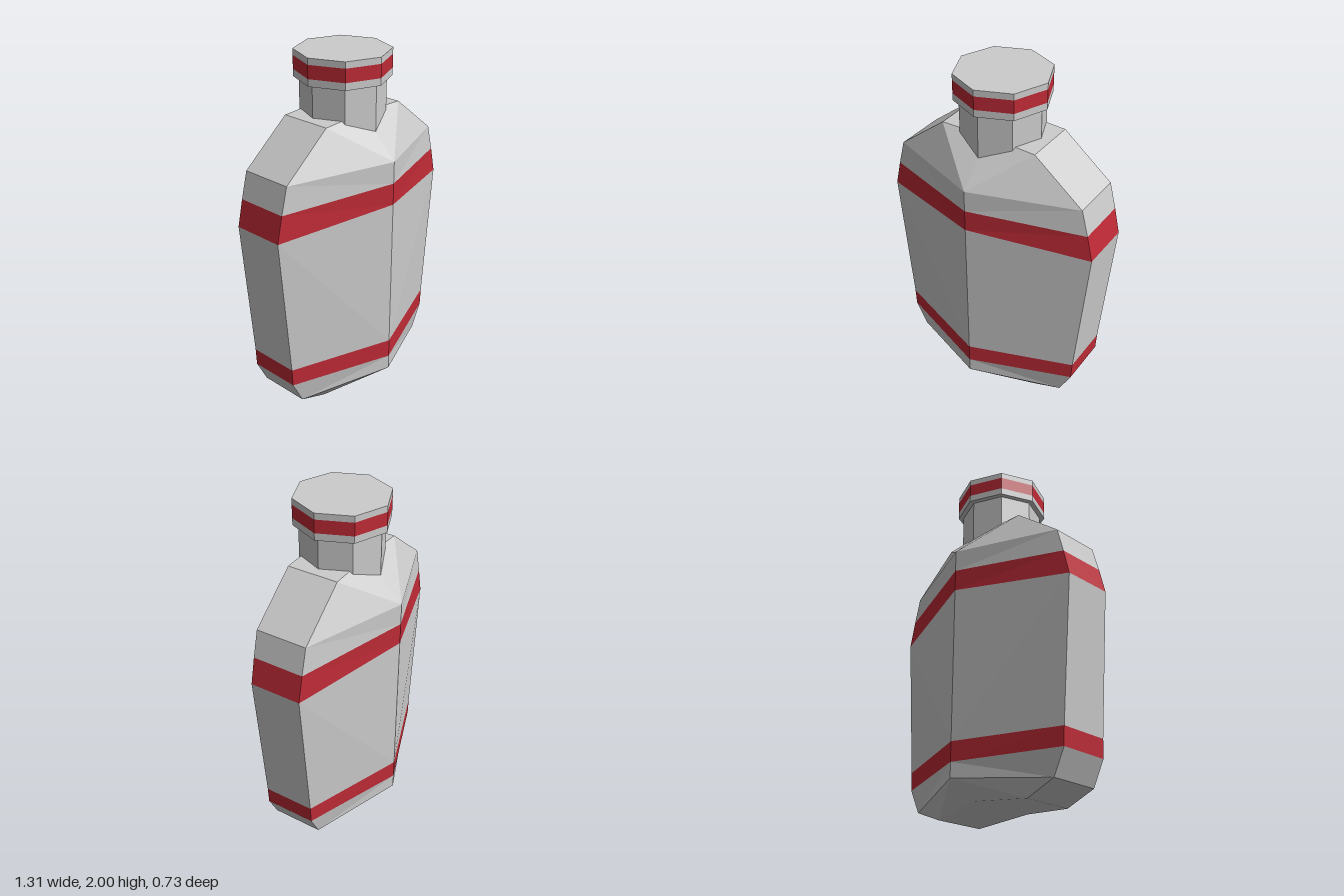
import * as THREE from 'three';

const grey = new THREE.MeshStandardMaterial({ color: 0xcccccc, flatShading: true });
const red = new THREE.MeshStandardMaterial({ color: 0xbe2a36, flatShading: true });

// Body levels, bottom to top: side x, side y, ridge y, ridge z
const SIDE_Z = 0.15;
const levels = [
  [0.33, 0, 0.035, 0.2],
  [0.51, 0.07, 0.125, 0.367],
  [0.58, 0.21, 0.21, 0.367],
  [0.585, 0.315, 0.32, 0.367],
  [0.655, 1.14, 1.205, 0.367],
  [0.62, 1.29, 1.33, 0.367],
  [0.58, 1.44, 1.455, 0.367],
  [0.29, 1.67, 1.68, 0.15],
];

// Six-sided cross-section with a ridge at front and back
const ring = ([x, y, ridgeY, ridgeZ]) => [
  [0, ridgeY, ridgeZ], [x, y, SIDE_Z], [x, y, -SIDE_Z],
  [0, ridgeY, -ridgeZ], [-x, y, -SIDE_Z], [-x, y, SIDE_Z],
];

function facets(name, triangles, material) {
  const geometry = new THREE.BufferGeometry();
  geometry.setAttribute('position', new THREE.Float32BufferAttribute(triangles.flat(2), 3));
  geometry.computeVertexNormals();
  const mesh = new THREE.Mesh(geometry, material);
  mesh.name = name;
  return mesh;
}

// Faceted wall between two neighbouring levels
function band(k) {
  const lo = ring(levels[k]), hi = ring(levels[k + 1]);
  const tris = [];
  for (let i = 0; i < 6; i++) {
    const j = (i + 1) % 6;
    // The fold runs from the lower ridge to the upper side, reversed near the base
    const startsAtRidge = i % 3 === 0;
    if (startsAtRidge === k > 1) tris.push([lo[i], lo[j], hi[j]], [lo[i], hi[j], hi[i]]);
    else tris.push([lo[i], lo[j], hi[i]], [lo[j], hi[j], hi[i]]);
  }
  return tris;
}

// Closing face of the body
function lid(level, up) {
  const r = ring(level);
  return [1, 2, 3, 4].map((i) => (up ? [r[0], r[i], r[i + 1]] : [r[0], r[i + 1], r[i]]));
}

// Eight-sided section between two heights
function octagon(name, radius, y0, y1, material, open = false) {
  const geometry = new THREE.CylinderGeometry(radius, radius, y1 - y0, 8, 1, open);
  const mesh = new THREE.Mesh(geometry, material);
  mesh.position.y = (y0 + y1) / 2;
  mesh.name = name;
  return mesh;
}

export function createModel() {
  const model = new THREE.Group();
  model.name = 'bottle';

  // Body with two red stripes
  const body = new THREE.Group();
  body.name = 'body';
  body.add(
    facets('base', [...lid(levels[0], false), ...band(0), ...band(1)], grey),
    facets('lowerStripe', band(2), red),
    facets('middlePanels', band(3), grey),
    facets('upperStripe', band(4), red),
    facets('shoulders', [...band(5), ...band(6), ...lid(levels[7], true)], grey),
  );

  // Neck sunk into the shoulders
  const neck = octagon('neck', 0.235, 1.5, 1.86, grey);

  // Cap with a red stripe
  const cap = new THREE.Group();
  cap.name = 'cap';
  cap.add(
    octagon('capLower', 0.265, 1.85, 1.89, grey),
    octagon('capStripe', 0.265, 1.89, 1.965, red, true),
    octagon('capTop', 0.265, 1.965, 2, grey),
  );

  model.add(body, neck, cap);
  return model;
}
